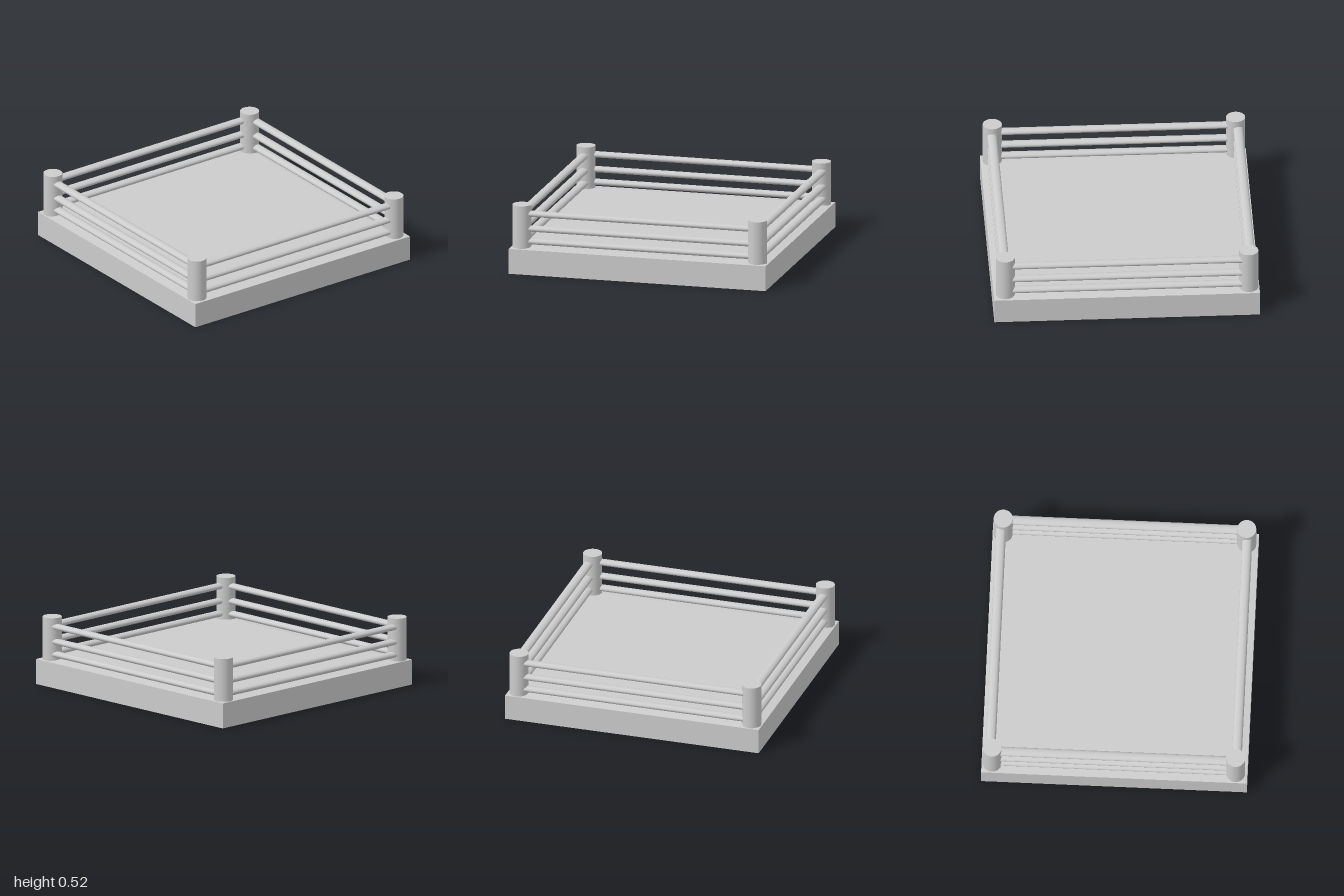
import * as THREE from 'three';

const material = new THREE.MeshStandardMaterial({ color: 0xcccccc });
const flatMaterial = new THREE.MeshStandardMaterial({ color: 0xcccccc, flatShading: true });

const LEFT = 0.912, RIGHT = -0.92, FRONT = 0.92, BACK = -0.914;
const EDGE = 0.193, DECK = 0.203, POST_TOP = 0.525;

function add(group, name, geometry, mat, x, y, z) {
  const mesh = new THREE.Mesh(geometry, mat);
  mesh.name = name;
  mesh.position.set(x, y, z);
  group.add(mesh);
  return mesh;
}

export function createModel() {
  const group = new THREE.Group();
  group.name = 'ring';

  // platform with a shallow sloping border around the floor
  add(group, 'platform', new THREE.BoxGeometry(2, EDGE, 2), flatMaterial, 0, EDGE / 2, 0);
  const floor = new THREE.CylinderGeometry(0.91 * Math.SQRT2, Math.SQRT2, DECK - EDGE, 4, 1);
  floor.rotateY(Math.PI / 4);
  add(group, 'floor', floor, flatMaterial, 0, (EDGE + DECK) / 2, 0);

  // corner posts
  const base = 0.15;
  const post = new THREE.CylinderGeometry(0.072, 0.072, POST_TOP - base, 32);
  for (const x of [LEFT, RIGHT])
    for (const z of [FRONT, BACK])
      add(group, 'cornerPost', post, material, x, (POST_TOP + base) / 2, z);

  // oval ropes, wider than tall, three on each side
  const rope = new THREE.CylinderGeometry(1, 1, 1, 24);
  rope.rotateZ(Math.PI / 2);
  rope.scale(1.83, 0.023, 0.036);
  const sideRope = rope.clone().rotateY(Math.PI / 2);
  for (const y of [0.243, 0.341, 0.456]) {
    add(group, 'frontRope', rope, material, 0, y, 0.921);
    add(group, 'backRope', rope, material, 0, y, -0.93);
    add(group, 'leftRope', sideRope, material, 0.917, y, 0);
    add(group, 'rightRope', sideRope, material, -0.935, y, 0);
  }
  return group;
}
